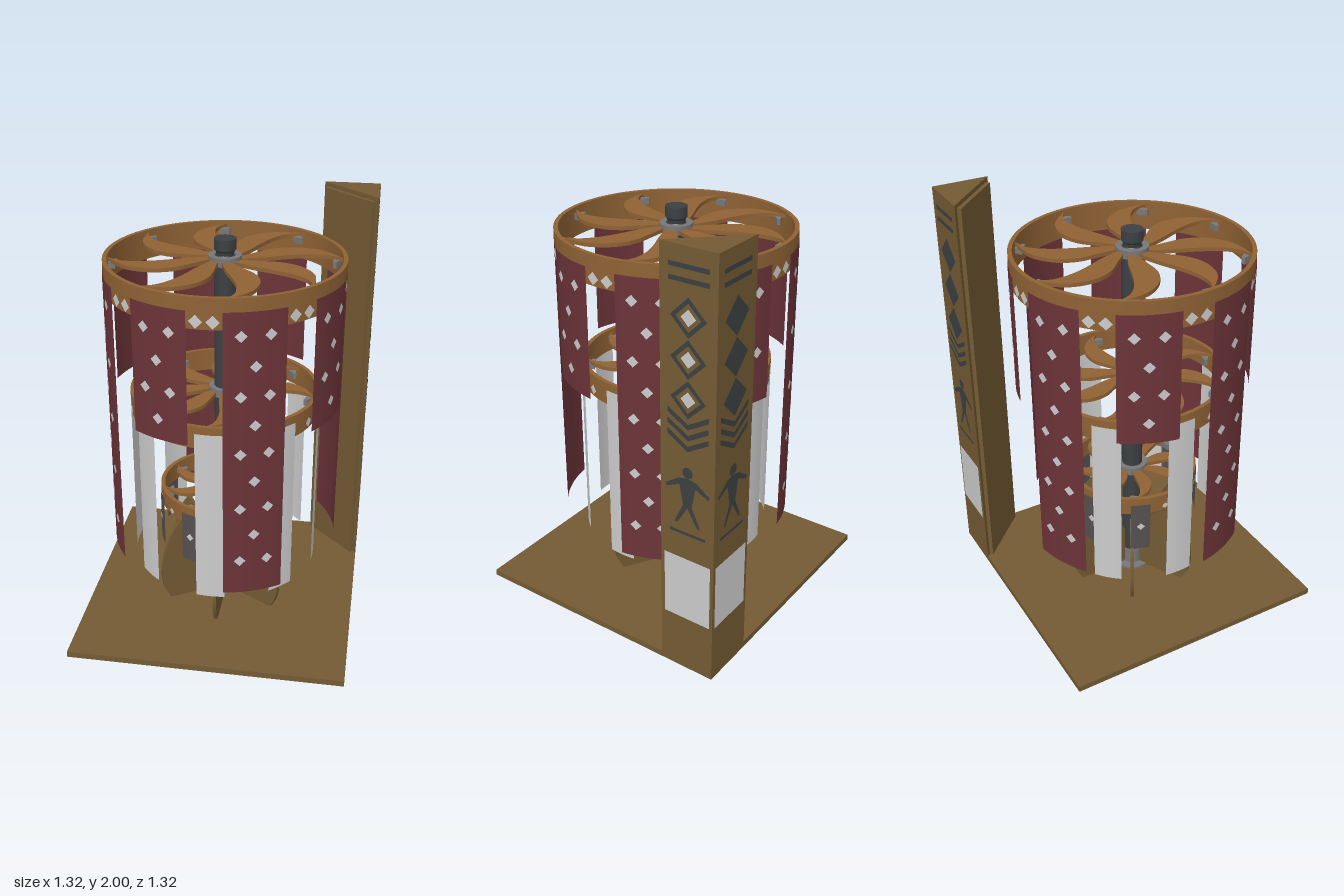
import * as THREE from 'three';

const mat = (color, side = THREE.FrontSide) => new THREE.MeshStandardMaterial({ color, side });
const WOOD = mat(0x735a33), ORANGE = mat(0x8f6234), DARK = mat(0x3c4042), GREY = mat(0x777777), PALE = mat(0xcccccc);
const RED_CLOTH = mat(0x6b3338, THREE.DoubleSide);
const PALE_CLOTH = mat(0xcccccc, THREE.DoubleSide);
const DARK_CLOTH = mat(0x55504f, THREE.DoubleSide);
const rad = THREE.MathUtils.degToRad;

function add(parent, name, geometry, material, x = 0, y = 0, z = 0) {
  const mesh = new THREE.Mesh(geometry, material);
  mesh.name = name;
  mesh.position.set(x, y, z);
  parent.add(mesh);
  return mesh;
}

const shapeOf = (pts) => new THREE.Shape(pts.map(([x, y]) => new THREE.Vector2(x, y)));
const smooth = (pts, n) => new THREE.SplineCurve(pts.map(([x, y]) => new THREE.Vector2(x, y))).getPoints(n);
const extrude = (shape, depth) => new THREE.ExtrudeGeometry(shape, { depth, bevelEnabled: false, curveSegments: 12 });

// Angles run from +x towards +z
function arcSheet(parent, name, r, y0, y1, angle, half, material) {
  const geo = new THREE.CylinderGeometry(r, r, y1 - y0, 10, 1, true, Math.PI / 2 - rad(angle + half), rad(half * 2));
  return add(parent, name, geo, material, 0, (y0 + y1) / 2, 0);
}

function diamond(parent, r, y, angle, size = 0.027) {
  const a = rad(angle);
  const m = add(parent, 'diamond', new THREE.CircleGeometry(size, 4), PALE, r * Math.cos(a), y, r * Math.sin(a));
  m.rotation.y = Math.PI / 2 - a;
}

// Flat ring with a rectangular section
function ring(parent, name, ri, ro, y0, y1, material) {
  const s = new THREE.Shape().absarc(0, 0, ro, 0, Math.PI * 2);
  s.holes.push(new THREE.Path().absarc(0, 0, ri, 0, Math.PI * 2, true));
  const geo = new THREE.ExtrudeGeometry(s, { depth: y1 - y0, bevelEnabled: false, curveSegments: 64 });
  return add(parent, name, geo.rotateX(-Math.PI / 2), material, 0, y0, 0);
}

// Wheel: rim, band, hub, eight S-curved spokes and small clips
function wheel(name, R, y0, yBand, y1, turn) {
  const g = new THREE.Group();
  g.name = name;
  ring(g, 'rim', R - 0.02, R - 0.004, y0, y1, ORANGE);
  ring(g, 'upperRim', R - 0.01, R, yBand, y1, ORANGE);
  ring(g, 'hub', 0.048, 0.075, y1 - 0.035, y1 + 0.004, GREY);
  const k = (R - 0.02) / 0.527;
  const upper = [[0.06, 0.03], [0.13, 0.1], [0.2, 0.165], [0.29, 0.197], [0.39, 0.185], [0.46, 0.14], [0.522, 0.075]];
  const lower = [[0.522, 0.075], [0.45, 0.11], [0.36, 0.105], [0.27, 0.075], [0.17, 0.03], [0.07, -0.005]];
  const outline = [...smooth(upper, 20), ...smooth(lower, 20).slice(1)].map((p) => [p.x * k, p.y * k]);
  const spoke = extrude(shapeOf(outline), 0.018).rotateX(-Math.PI / 2);
  const clip = extrude(shapeOf([[-0.025, -0.008], [0.025, -0.018], [0.025, 0.018], [-0.025, 0.008]]), 0.03).rotateX(-Math.PI / 2);
  for (let i = 0; i < 8; i++) {
    add(g, 'spoke', spoke, ORANGE, 0, y1 - 0.03, 0).rotation.y = rad(45 * i + turn);
    const a = rad(45 * i + turn + 9), rc = R - 0.05;
    add(g, 'clip', clip, GREY, rc * Math.cos(a), y1 - 0.055, -rc * Math.sin(a)).rotation.y = a + 1.2;
  }
  return g;
}

// Painted symbols on one face of the post, drawn in x-y and facing +z
function postFace(openDiamonds) {
  const g = new THREE.Group();
  g.name = 'paintedFace';
  const flat = (name, shape, material, y = 0, z = 0) => add(g, name, new THREE.ShapeGeometry(shape), material, 0, y, z);
  const bar = (y, w, h, material) => flat('bar', shapeOf([[-w, -h], [w, -h], [w, h], [-w, h]]), material, y);
  const rhomb = (s) => [[0, -s], [s, 0], [0, s], [-s, 0]];
  bar(1.92, 0.095, 0.01, DARK);
  bar(1.865, 0.095, 0.01, DARK);
  for (const y of [1.715, 1.54, 1.365]) {
    const s = shapeOf(rhomb(0.085));
    if (openDiamonds) {
      s.holes.push(new THREE.Path(rhomb(0.06).map(([x, v]) => new THREE.Vector2(x, v))));
      flat('innerDiamond', shapeOf(rhomb(0.036)), PALE, y);
    }
    flat('paintedDiamond', s, DARK, y);
  }
  for (const y of [1.23, 1.18, 1.13]) {
    flat('chevron', shapeOf([[0, 0], [0.1, 0.06], [0.1, 0.085], [0, 0.025], [-0.1, 0.085], [-0.1, 0.06]]), DARK, y);
  }
  // Dancing figure
  add(g, 'figureHead', new THREE.CircleGeometry(0.026, 16), DARK, 0, 1.03, 0);
  const half = [[0, 1.005], [0.045, 0.995], [0.11, 0.95], [0.105, 0.935], [0.04, 0.965], [0.022, 0.87], [0.065, 0.775], [0.05, 0.775], [0, 0.86]];
  flat('figureBody', shapeOf([...half, ...half.slice(1, -1).reverse().map(([x, y]) => [-x, y])]), DARK);
  bar(0.73, 0.09, 0.007, DARK);
  bar(0.44, 0.118, 0.16, PALE);
  return g;
}

export function createModel() {
  const model = new THREE.Group();
  model.name = 'bannerCarousel';

  add(model, 'base', new THREE.BoxGeometry(1.32, 0.03, 1.32), WOOD, 0, 0.015, 0);

  // Central shaft
  const shaft = [[0, 0.13], [0.05, 0.13], [0.05, 1.81], [0.04, 1.825], [0.042, 1.84], [0.05, 1.85], [0.05, 1.9], [0, 1.9]];
  for (let i = 1; i < shaft.length; i++) {
    const seg = [shaft[i - 1], shaft[i]].map(([x, y]) => new THREE.Vector2(x, y));
    add(model, 'shaft', new THREE.LatheGeometry(seg, 32), DARK);
  }
  add(model, 'shaftSleeve', new THREE.CylinderGeometry(0.05, 0.05, 0.1, 32), GREY, 0, 0.08, 0);
  add(model, 'shaftFlange', new THREE.CylinderGeometry(0.09, 0.09, 0.01, 32), GREY, 0, 0.035, 0);

  // Leaf-shaped fins around the foot of the shaft
  const outer = smooth([[0.3, 0.03], [0.332, 0.1], [0.342, 0.18], [0.325, 0.3], [0.285, 0.41], [0.238, 0.48]], 18);
  const inner = smooth([[0.238, 0.48], [0.165, 0.405], [0.1, 0.34], [0.055, 0.27], [0.032, 0.17], [0.035, 0.09], [0.06, 0.03]], 18);
  const fin = extrude(shapeOf([...outer, ...inner.slice(1)].map((p) => [p.x, p.y])), 0.018).translate(0, 0, -0.009);
  for (let i = 0; i < 6; i++) add(model, 'leafFin', fin, WOOD).rotation.y = rad(30 + 60 * i);

  // Three wheels
  const top = wheel('topWheel', 0.547, 1.68, 1.76, 1.82, 0);
  const middle = wheel('middleWheel', 0.447, 1.07, 1.14, 1.18, -13);
  const low = wheel('lowerWheel', 0.317, 0.57, 0.62, 0.66, 9);
  model.add(top, middle, low);

  for (let i = 0; i < 8; i++) {
    const a = 45 * i, b = a + 22.5;
    // Red banners, alternately short and long
    const long = i % 2 === 1;
    arcSheet(top, 'redBanner', 0.55, long ? 0.38 : 1.14, 1.76, b, 14.5, RED_CLOTH);
    for (let j = 0; j < (long ? 9 : 4); j++) {
      const y = 1.655 - 0.1375 * j;
      for (const d of j % 2 ? [0] : [-6.6, 6.6]) diamond(top, 0.553, y, b + d);
    }
    for (const d of [-3.8, 3.8]) diamond(top, 0.547, 1.715, a + d, 0.03);
    // Pale banners
    arcSheet(middle, 'paleBanner', 0.45, 0.28, 1.145, a, 8.6, PALE_CLOTH);
    diamond(middle, 0.447, 1.105, b, 0.025);
    // Dark banners
    arcSheet(low, 'darkBanner', 0.32, 0.365, 0.625, b, 8.4, DARK_CLOTH);
    diamond(low, 0.323, 0.5, b, 0.02);
    diamond(low, 0.317, 0.595, a, 0.017);
  }

  // Triangular corner post with a backing panel on its inner side
  const post = new THREE.Group();
  post.name = 'cornerPost';
  const tri = extrude(shapeOf([[0.39, 0.66], [0.66, 0.39], [0.66, 0.66]]), 2).rotateX(-Math.PI / 2);
  add(post, 'postBody', tri, WOOD);
  add(post, 'postPanel', new THREE.BoxGeometry(0.335, 1.98, 0.02), WOOD, 0.518, 0.99, -0.518).rotation.y = -Math.PI / 4;
  const side = postFace(true);
  side.position.set(0.662, 0, -0.527);
  side.rotation.y = Math.PI / 2;
  const back = postFace(false);
  back.position.set(0.527, 0, -0.662);
  back.rotation.y = Math.PI;
  post.add(side, back);
  model.add(post);

  return model;
}
